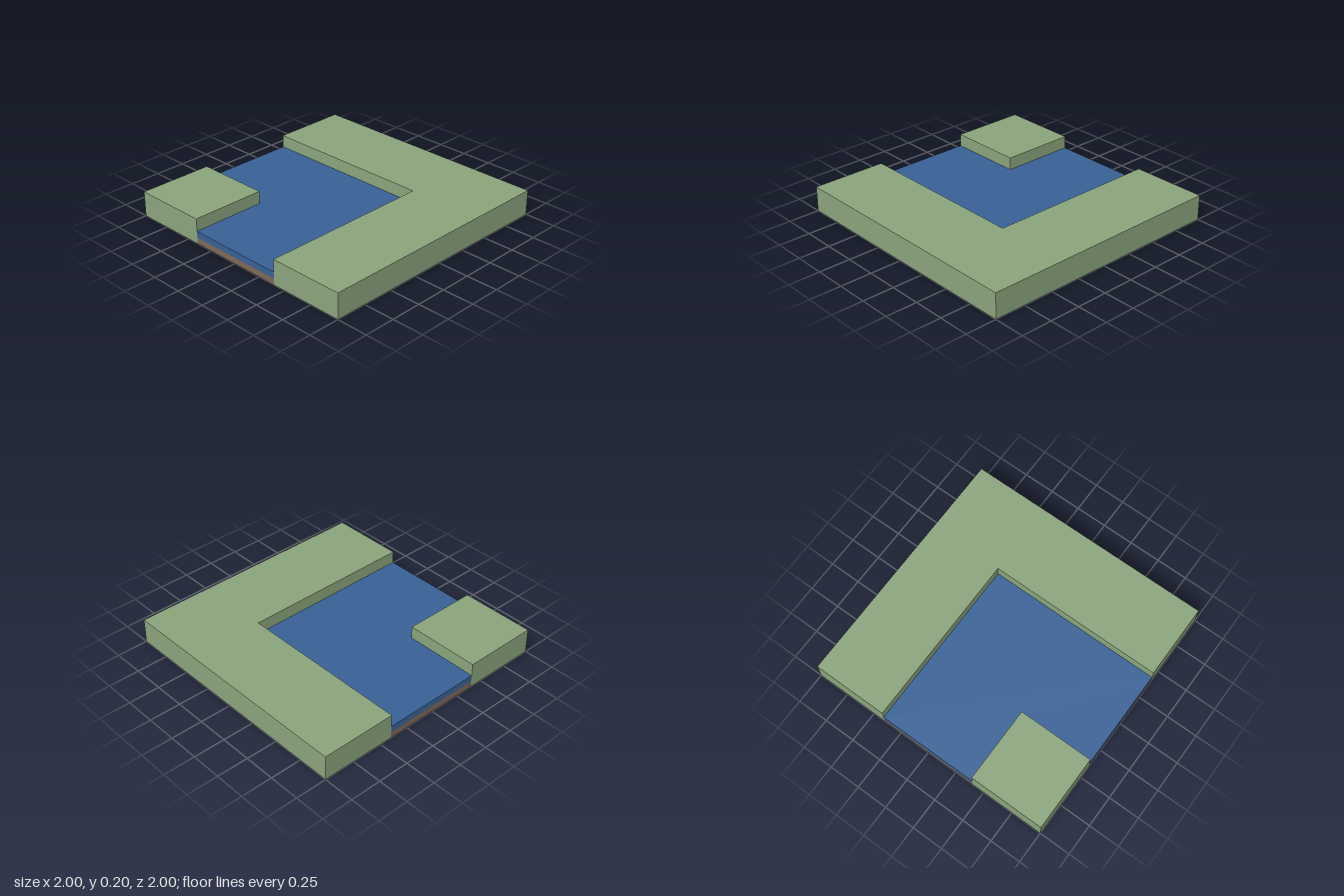
import * as THREE from 'three';

export function createModel() {
  const group = new THREE.Group();
  group.name = 'riverBendTile';
  const grass = new THREE.MeshStandardMaterial({ color: 0x8aa47c });
  const water = new THREE.MeshStandardMaterial({ color: 0x386196 });
  const soil = new THREE.MeshStandardMaterial({ color: 0x7d6858 });

  // Extrudes a plan outline of [x, z] corners from y0 up to y1
  function slab(name, outline, y0, y1, material) {
    const shape = new THREE.Shape(outline.map(([x, z]) => new THREE.Vector2(x, -z)));
    const geometry = new THREE.ExtrudeGeometry(shape, { depth: y1 - y0, bevelEnabled: false });
    geometry.rotateX(-Math.PI / 2).translate(0, y0, 0);
    const mesh = new THREE.Mesh(geometry, material);
    mesh.name = name;
    group.add(mesh);
  }

  // L-shaped outer bank and the square bank inside the bend
  slab('outerBank', [[-1, 1], [1, 1], [1, -1], [0.4, -1], [0.4, 0.4], [-1, 0.4]], 0, 0.2, grass);
  slab('innerBank', [[-1, -0.4], [-0.4, -0.4], [-0.4, -1], [-1, -1]], 0, 0.2, grass);

  // Channel turning from the right edge to the back edge
  const channel = [[-1, 0.4], [0.4, 0.4], [0.4, -1], [-0.4, -1], [-0.4, -0.4], [-1, -0.4]];
  slab('riverBed', channel, 0, 0.05, soil);
  slab('riverWater', channel, 0.05, 0.1, water);

  return group;
}
